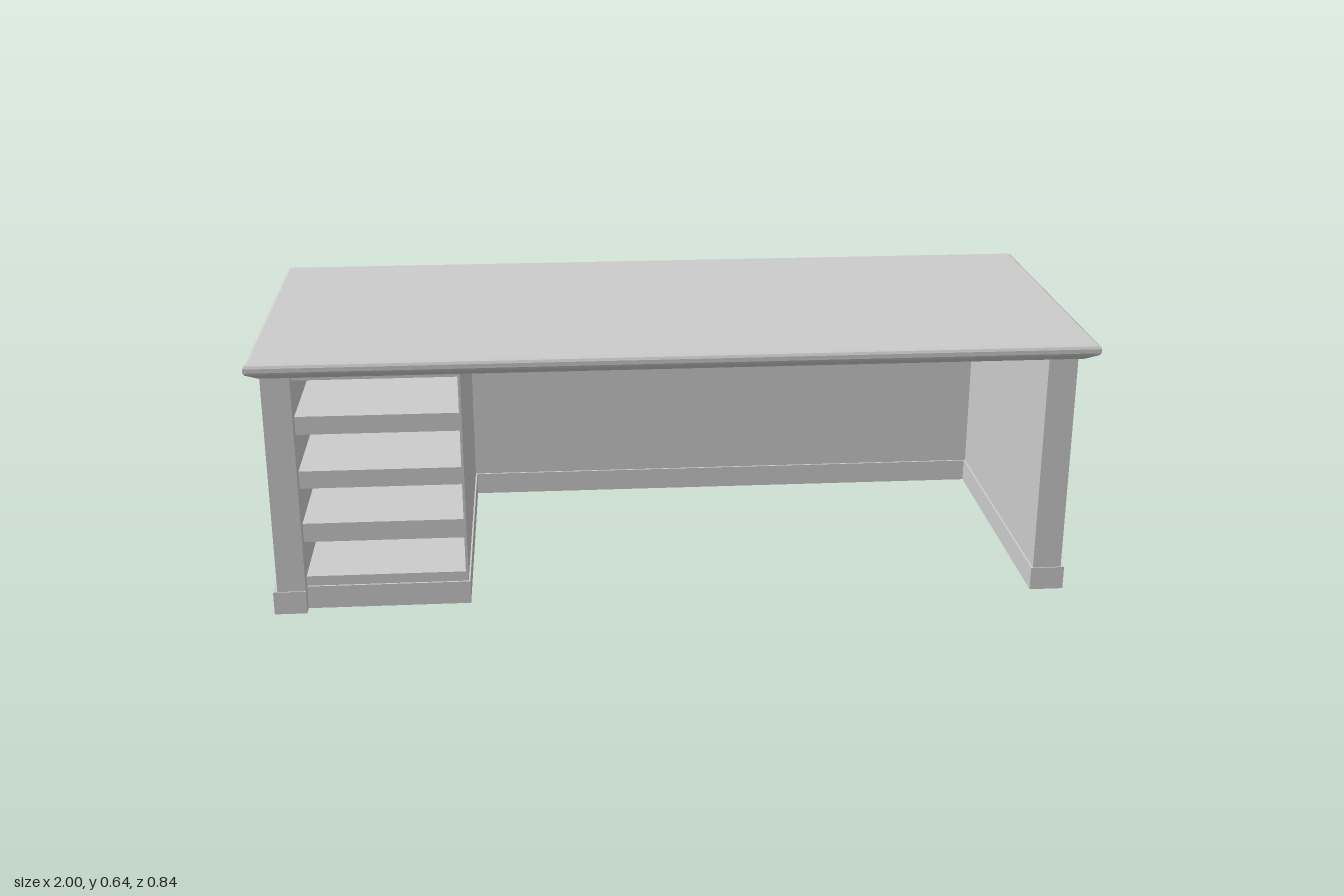
import * as THREE from 'three';

const material = new THREE.MeshStandardMaterial({ color: 0xcccccc, flatShading: true });

// Box given by its limits on each axis
function box(name, [x0, x1], [y0, y1], [z0, z1]) {
  const mesh = new THREE.Mesh(new THREE.BoxGeometry(x1 - x0, y1 - y0, z1 - z0), material);
  mesh.position.set((x0 + x1) / 2, (y0 + y1) / 2, (z0 + z1) / 2);
  mesh.name = name;
  return mesh;
}

// Stack of rectangles: each profile entry is [inset, y], from bottom to top
function mouldedSlab(halfX, halfZ, profile) {
  const points = [], index = [];
  for (const [inset, y] of profile) {
    const x = halfX - inset, z = halfZ - inset;
    points.push(-x, y, z, x, y, z, x, y, -z, -x, y, -z);
  }
  for (let r = 0; r < profile.length - 1; r++) {
    for (let i = 0; i < 4; i++) {
      const a = r * 4 + i, b = r * 4 + (i + 1) % 4;
      index.push(a, b, b + 4, a, b + 4, a + 4);
    }
  }
  const t = (profile.length - 1) * 4;
  index.push(0, 2, 1, 0, 3, 2, t, t + 1, t + 2, t, t + 2, t + 3);
  const indexed = new THREE.BufferGeometry();
  indexed.setAttribute('position', new THREE.Float32BufferAttribute(points, 3));
  indexed.setIndex(index);
  const geometry = indexed.toNonIndexed();
  geometry.computeVertexNormals();
  return geometry;
}

export function createModel() {
  const desk = new THREE.Group();
  desk.name = 'desk';
  const top = 0.603, plinth = 0.058;
  const back = -0.398, backInner = -0.335, front = 0.39;
  const cabinetFront = 0.36;

  // Tabletop with a flared underside and a softened edge
  const tabletop = new THREE.Mesh(mouldedSlab(1, 0.42, [
    [0.03, 0.602], [0.004, 0.619], [0, 0.625], [0, 0.635], [0.003, 0.641], [0.01, 0.645],
  ]), material);
  tabletop.name = 'tabletop';
  desk.add(tabletop);

  // Side and back panels
  desk.add(
    box('rightPanel', [-0.968, -0.9], [plinth, top], [back, front]),
    box('leftPanel', [0.885, 0.955], [plinth, top], [back, front]),
    box('backPanel', [-0.9, 0.885], [plinth, top], [back, backInner]),
  );

  // Plinth under the panels
  desk.add(
    box('rightPlinth', [-0.978, -0.9], [0, plinth], [-0.403, 0.393]),
    box('leftPlinth', [0.88, 0.963], [0, plinth], [-0.403, 0.393]),
    box('backPlinth', [-0.9, 0.88], [0, plinth], [-0.403, -0.33]),
  );

  // Open cabinet: thin inner wall and four deep shelves
  const cabinet = new THREE.Group();
  cabinet.name = 'shelfCabinet';
  cabinet.add(box('cabinetWall', [-0.516, -0.51], [plinth, top], [backInner, cabinetFront]));
  const shelves = [[plinth, 0.083], [0.174, 0.222], [0.313, 0.357], [0.45, 0.495], [0.585, top]];
  for (const span of shelves) {
    cabinet.add(box('shelf', [-0.9, -0.516], span, [backInner, cabinetFront]));
  }
  // Plinth strips around the hollow below the cabinet
  cabinet.add(
    box('cabinetFrontPlinth', [-0.9, -0.506], [0, plinth], [0.32, 0.365]),
    box('cabinetSidePlinth', [-0.555, -0.506], [0, plinth], [-0.33, 0.32]),
  );
  desk.add(cabinet);
  return desk;
}
